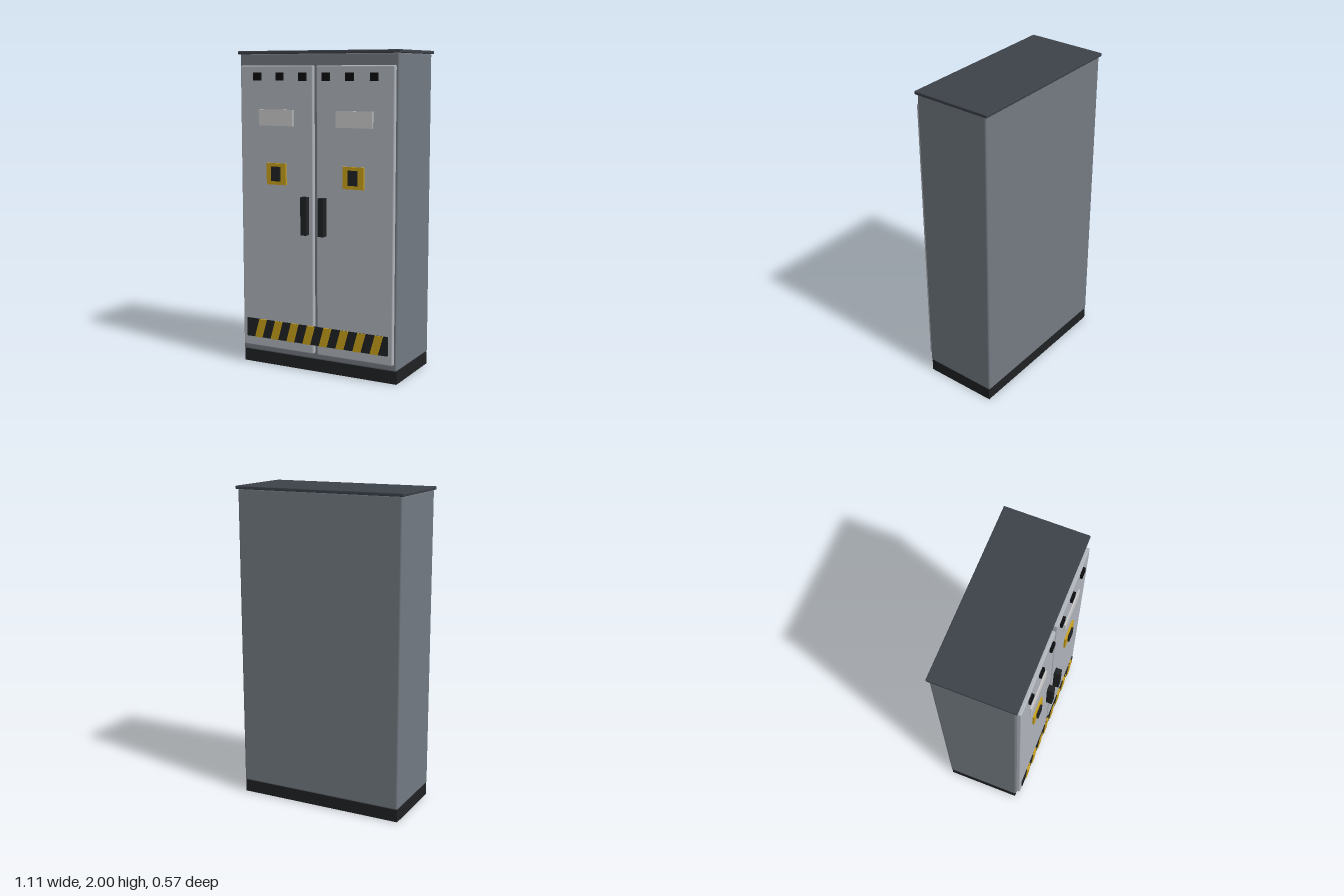
import * as THREE from 'three';
import { RoundedBoxGeometry } from 'three/addons/geometries/RoundedBoxGeometry.js';

const paint = (color) => new THREE.MeshStandardMaterial({ color });

export function createModel() {
  const cabinet = new THREE.Group();
  cabinet.name = 'electricalCabinet';

  const steel = paint(0x737a82);
  const doorGrey = paint(0xb0b5bc);
  const roofGrey = paint(0x3d424a);
  const black = paint(0x1f2123);
  const ventBlack = paint(0x0c0d0e);
  const yellow = paint(0xc9a11a);
  const labelGrey = paint(0xcccccc);

  const add = (parent, name, geometry, material, x, y, z) => {
    const mesh = new THREE.Mesh(geometry, material);
    mesh.name = name;
    mesh.position.set(x, y, z);
    parent.add(mesh);
    return mesh;
  };
  // box given by centre x, y, size w, h and its z range
  const box = (parent, name, material, x, y, w, h, z0, z1, radius = 0) => {
    const geometry = radius
      ? new RoundedBoxGeometry(w, h, z1 - z0, 2, radius)
      : new THREE.BoxGeometry(w, h, z1 - z0);
    return add(parent, name, geometry, material, x, y, (z0 + z1) / 2);
  };

  // plinth, body and overhanging roof
  box(cabinet, 'plinth', black, 0, 0.04, 1.084, 0.08, -0.265, 0.213);
  box(cabinet, 'body', steel, 0, 1.033, 1.09, 1.906, -0.272, 0.22, 0.012);
  box(cabinet, 'roof', roofGrey, 0, 1.99, 1.11, 0.02, -0.284, 0.231, 0.005);

  // two mirrored doors with their fittings
  for (const side of [-1, 1]) {
    const door = new THREE.Group();
    door.name = side > 0 ? 'leftDoor' : 'rightDoor';
    cabinet.add(door);
    box(door, 'doorPanel', doorGrey, side * 0.27, 1.015, 0.516, 1.79, 0.21, 0.244, 0.008);
    box(door, 'handle', black, side * 0.06, 0.995, 0.04, 0.236, 0.24, 0.284);
    box(door, 'label', labelGrey, side * 0.27, 1.592, 0.244, 0.1, 0.24, 0.252);
    box(door, 'switchPlate', yellow, side * 0.267, 1.244, 0.138, 0.134, 0.24, 0.256);
    box(door, 'switchKnob', black, side * 0.267, 1.245, 0.062, 0.09, 0.25, 0.268);
    for (let i = 0; i < 3; i++) {
      box(door, 'vent', ventBlack, side * (0.08 + i * 0.16), 1.843, 0.05, 0.05, 0.24, 0.259);
    }
  }

  // hazard band with slanted stripes
  box(cabinet, 'hazardBand', black, 0, 0.24, 0.996, 0.12, 0.238, 0.25);
  const slant = new THREE.Shape([
    new THREE.Vector2(-0.044, -0.06),
    new THREE.Vector2(0.01, -0.06),
    new THREE.Vector2(0.044, 0.06),
    new THREE.Vector2(-0.01, 0.06),
  ]);
  const stripe = new THREE.ExtrudeGeometry(slant, { depth: 0.012, bevelEnabled: false });
  for (let i = 0; i < 8; i++) {
    add(cabinet, 'hazardStripe', stripe, yellow, -0.394 + i * 0.117, 0.24, 0.243);
  }

  return cabinet;
}
